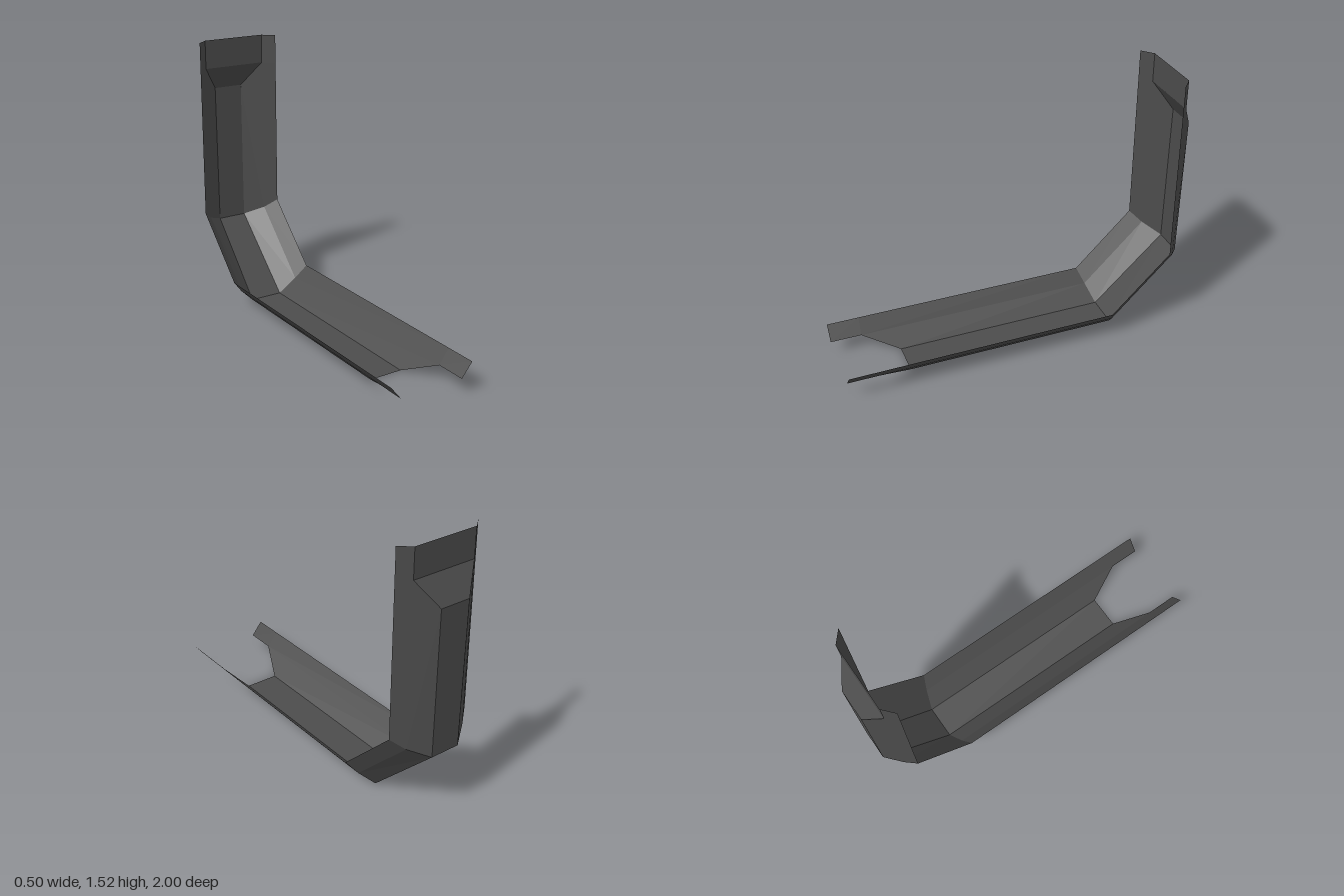
import * as THREE from 'three';

// Lines running along the left half of the trough, from the front end to the upper end: [x, y, z]
const rim = [
  [0.25, 0.17, 1], [0.25, 0.17, 0.82], [0.25, 0.17, -0.525],
  [0.25, 0.5, -0.86], [0.25, 1.36, -0.86], [0.25, 1.525, -0.86],
];
const ledge = [
  [0.187, 0.092, 1], [0.187, 0.092, 0.825], [0.187, 0.092, -0.555],
  [0.187, 0.447, -0.915], [0.187, 1.36, -0.915], [0.187, 1.525, -0.915],
];
const keel = [
  [0.095, 0.003, 0.625], [0.095, 0.003, -0.587],
  [0.085, 0.4, -0.992], [0.087, 1.22, -1],
];

const mirror = (line) => line.map(([x, y, z]) => [-x, y, z]);

// Flat-faced sheet between two lines with the same number of points
function strip(a, b) {
  const pos = [];
  for (let i = 0; i < a.length - 1; i++) {
    pos.push(...a[i], ...b[i], ...b[i + 1], ...a[i], ...b[i + 1], ...a[i + 1]);
  }
  const g = new THREE.BufferGeometry();
  g.setAttribute('position', new THREE.Float32BufferAttribute(pos, 3));
  g.computeVertexNormals();
  return g;
}

export function createModel() {
  const group = new THREE.Group();
  group.name = 'bentTrough';
  const metal = new THREE.MeshStandardMaterial({ color: 0x4c4c4c, side: THREE.DoubleSide, flatShading: true });
  metal.name = 'dark grey metal';

  const add = (name, a, b) => {
    const mesh = new THREE.Mesh(strip(a, b), metal);
    mesh.name = name;
    group.add(mesh);
  };

  // Upper and lower bands of each sloping side
  const ledgeMiddle = ledge.slice(1, 5);
  add('leftRimBand', rim, ledge);
  add('rightRimBand', mirror(ledge), mirror(rim));
  add('leftSideBand', ledgeMiddle, keel);
  add('rightSideBand', mirror(keel), mirror(ledgeMiddle));

  // Floor, which rises through a slanted step into the recessed end panel
  const floor = [...keel, ...ledge.slice(4)];
  add('floorAndEndPanel', floor, mirror(floor));

  return group;
}
